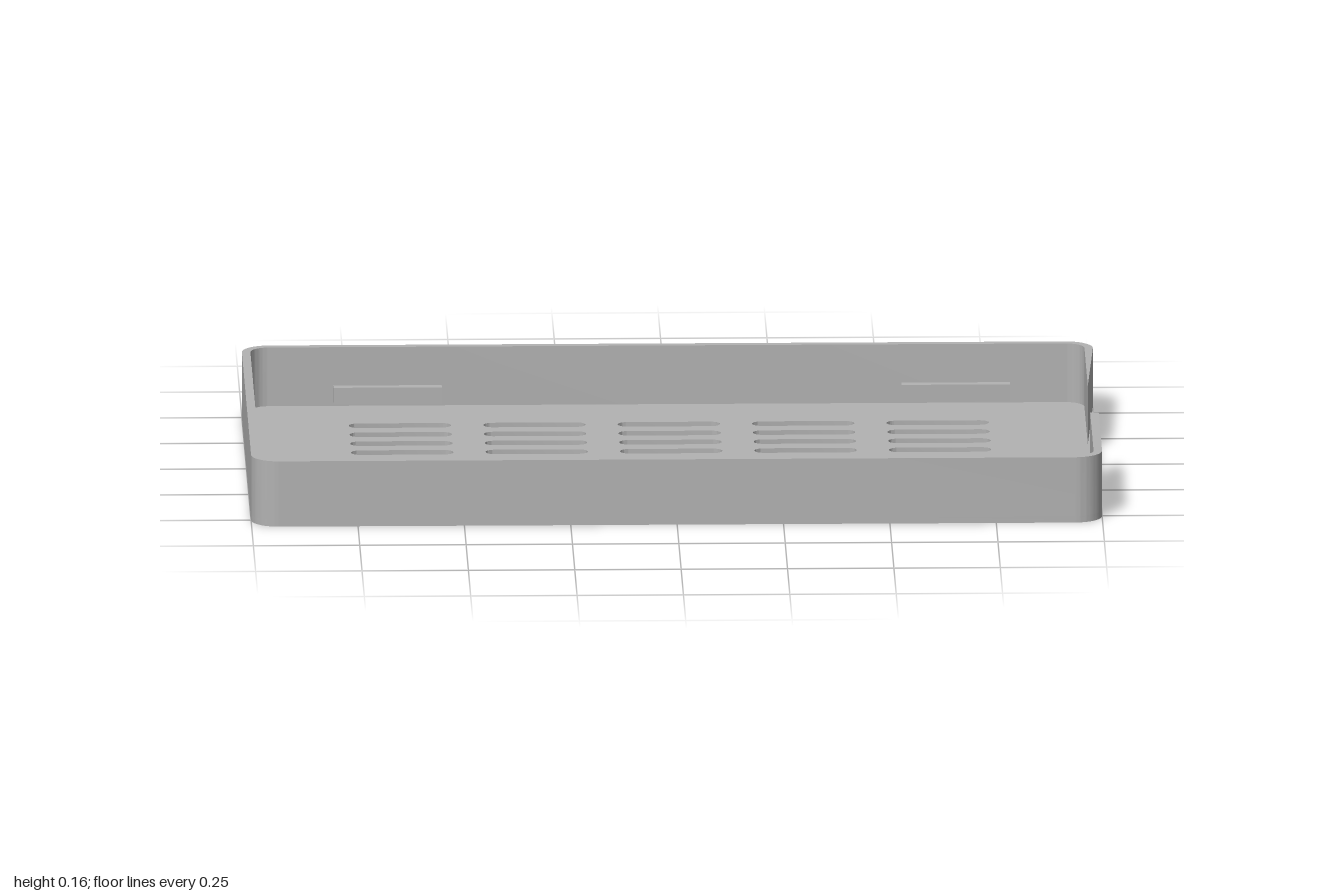
import * as THREE from 'three';
import { toCreasedNormals } from 'three/addons/utils/BufferGeometryUtils.js';

const HX = 1, HZ = 0.565, HEIGHT = 0.158, FLOOR = 0.016;
const WALL = 0.02, RADIUS = 0.065, NOTCH = 0.13;

// Rounded rectangle or slot outline, centred on (cx, cy)
function roundedRect(path, cx, cy, hx, hy, r) {
  path.moveTo(cx + hx, cy - hy + r);
  path.absarc(cx + hx - r, cy + hy - r, r, 0, Math.PI / 2);
  path.absarc(cx - hx + r, cy + hy - r, r, Math.PI / 2, Math.PI);
  path.absarc(cx - hx + r, cy - hy + r, r, Math.PI, Math.PI * 1.5);
  path.absarc(cx + hx - r, cy - hy + r, r, Math.PI * 1.5, Math.PI * 2);
  return path;
}

// Plan outline raised from y0 to y1
function raise(shape, y0, y1) {
  const g = new THREE.ExtrudeGeometry(shape, { depth: y1 - y0, bevelEnabled: false, curveSegments: 10 });
  g.rotateX(-Math.PI / 2).translate(0, y0, 0);
  return toCreasedNormals(g, 0.6);
}

export function createModel() {
  const group = new THREE.Group();
  group.name = 'ventedTray';
  const grey = new THREE.MeshStandardMaterial({ color: 0xb2b2b2 });
  grey.name = 'grey';

  const add = (geometry, name) => {
    const mesh = new THREE.Mesh(geometry, grey);
    mesh.name = name;
    group.add(mesh);
    return mesh;
  };

  // Floor with a 5 x 9 grid of ventilation slots
  const floor = roundedRect(new THREE.Shape(), 0, 0, HX, HZ, RADIUS);
  for (let col = -2; col <= 2; col++) {
    for (let row = -4; row <= 4; row++) {
      floor.holes.push(roundedRect(new THREE.Path(), col * 0.316, row * 0.0875, 0.12, 0.022, 0.0219));
    }
  }
  add(raise(floor, 0, FLOOR), 'ventedFloor');

  // Wall running round the tray, open at the notch on the +x end
  const wall = new THREE.Shape();
  const cx = HX - RADIUS, cz = HZ - RADIUS, ri = RADIUS - WALL, q = Math.PI / 2;
  const corners = [[cx, cz, 0], [-cx, cz, q], [-cx, -cz, 2 * q], [cx, -cz, 3 * q]];
  wall.moveTo(HX, NOTCH);
  for (const [x, z, a] of corners) wall.absarc(x, z, RADIUS, a, a + q);
  wall.lineTo(HX, -NOTCH);
  wall.lineTo(HX - WALL, -NOTCH);
  for (const [x, z, a] of corners.reverse()) wall.absarc(x, z, ri, a + q, a, true);
  wall.lineTo(HX - WALL, NOTCH);
  wall.closePath();
  add(raise(wall, FLOOR, HEIGHT), 'sideWall');

  // Retaining tabs on the inside of both long walls
  for (const side of [-1, 1]) {
    for (const x of [-0.657, 0.678]) {
      const tab = add(new THREE.BoxGeometry(0.255, 0.04, 0.024), 'retainingTab');
      tab.position.set(x, 0.045, side * 0.535);
    }
  }
  return group;
}
